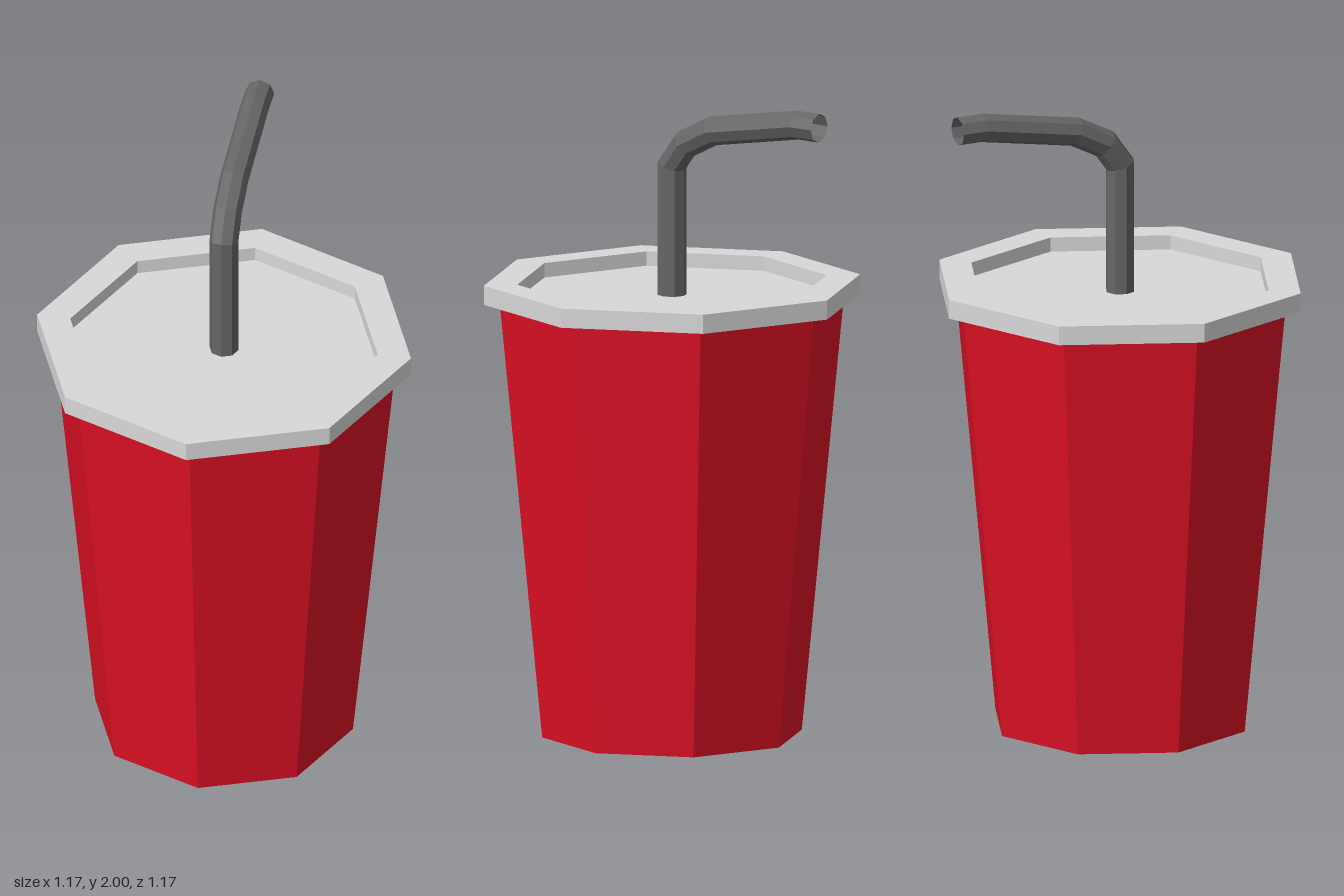
import * as THREE from 'three';

const flat = (name, color, side = THREE.FrontSide) =>
  new THREE.MeshStandardMaterial({ name, color, flatShading: true, side });

// Bent hollow straw: each row of an open cylinder is moved onto a path point.
function strawGeometry(path, radius, sides) {
  const rows = path.length - 1;
  const geo = new THREE.CylinderGeometry(radius, radius, 1, sides, rows, true);
  const pos = geo.attributes.position;
  const direction = (i) => path[i + 1].clone().sub(path[i]).normalize();
  for (let v = 0; v < pos.count; v++) {
    const i = rows - Math.floor(v / (sides + 1));
    const before = direction(Math.max(i - 1, 0));
    const tangent = before.clone().add(direction(Math.min(i, rows - 1))).normalize();
    const reach = pos.getZ(v) / tangent.dot(before); // mitred joint
    pos.setY(v, path[i].y - tangent.x * reach);
    pos.setZ(v, path[i].x + tangent.y * reach);
  }
  geo.computeVertexNormals();
  return geo;
}

export function createModel() {
  const red = flat('cup red', 0xdc1025);
  const grey = flat('lid grey', 0xd8d8d8, THREE.DoubleSide);
  const dark = flat('straw grey', 0x666666, THREE.DoubleSide);
  const group = new THREE.Group();
  group.name = 'drinkCup';
  const add = (name, geometry, material) => {
    const mesh = new THREE.Mesh(geometry, material);
    mesh.name = name;
    group.add(mesh);
    return mesh;
  };

  // Tapered eight-sided cup with a pale base
  add('cup', new THREE.CylinderGeometry(0.537, 0.405, 1.36, 8), [red, grey, grey]).position.y = 0.68;

  // Lid with a raised rim around a sunken top
  const lid = [[0.5, 1.36], [0.587, 1.36], [0.587, 1.42], [0.483, 1.42], [0.483, 1.375], [0, 1.375]];
  add('lid', new THREE.LatheGeometry(lid.map(([r, y]) => new THREE.Vector2(r, y)), 8), grey);

  // Straw path as (z, y) points
  const path = [[0, 1.375], [0, 1.78], [-0.052, 1.852], [-0.155, 1.904], [-0.475, 1.957], [-0.557, 1.956]];
  add('straw', strawGeometry(path.map(([z, y]) => new THREE.Vector2(z, y)), 0.045, 8), dark);

  return group;
}
